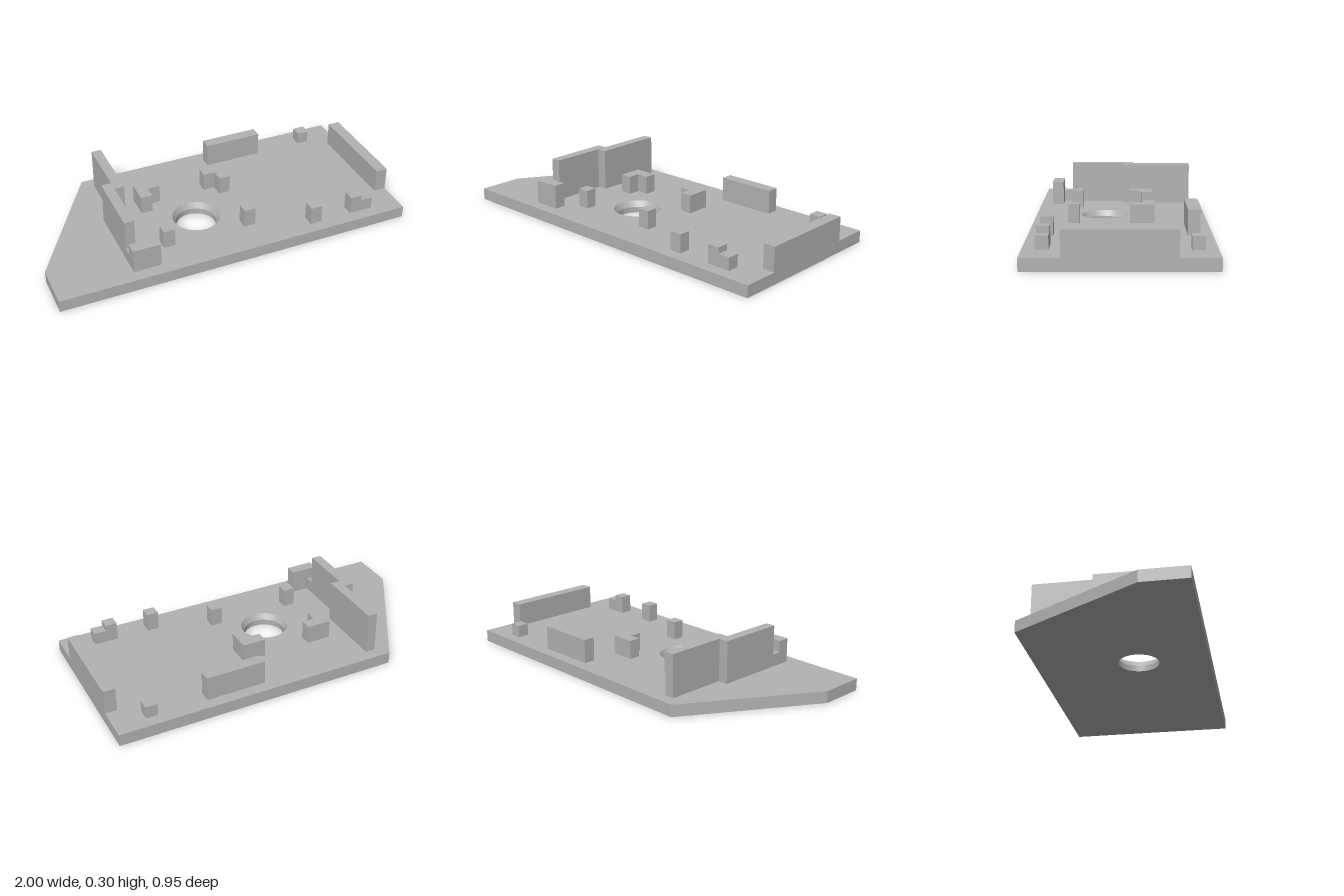
import * as THREE from 'three';
import { toCreasedNormals } from 'three/addons/utils/BufferGeometryUtils.js';

const BASE = 0.066; // plate thickness

export function createModel() {
  const group = new THREE.Group();
  const grey = new THREE.MeshStandardMaterial({ color: 0xb2b2b2 });
  grey.name = 'grey';

  const add = (name, geometry) => {
    const mesh = new THREE.Mesh(geometry, grey);
    mesh.name = name;
    group.add(mesh);
    return mesh;
  };

  // Block standing on the plate, given by its x and z ranges and top height
  const block = (name, x0, x1, z0, z1, top) => {
    const mesh = add(name, new THREE.BoxGeometry(x1 - x0, top - BASE, z1 - z0));
    mesh.position.set((x0 + x1) / 2, (top + BASE) / 2, (z0 + z1) / 2);
  };

  // Base plate with one slanted corner and a round hole (shape y is -z)
  const hole = { x: -0.098, z: 0.09, top: 0.131, bottom: 0.112 };
  const outline = new THREE.Shape([
    [-1, -0.475], [1, -0.475], [1, 0.475], [-0.58, 0.475], [-1, -0.225],
  ].map(([x, y]) => new THREE.Vector2(x, y)));
  outline.holes.push(new THREE.Path().absarc(hole.x, -hole.z, hole.top, 0, Math.PI * 2, true));
  const plate = new THREE.ExtrudeGeometry(outline, {
    depth: BASE, steps: 2, bevelEnabled: false, curveSegments: 32,
  });
  plate.rotateX(-Math.PI / 2);

  // Countersink: narrow the hole from mid thickness down
  const p = plate.attributes.position;
  for (let i = 0; i < p.count; i++) {
    const dx = p.getX(i) - hole.x;
    const dz = p.getZ(i) - hole.z;
    if (Math.hypot(dx, dz) < hole.top + 0.01 && p.getY(i) < BASE * 0.75) {
      const k = hole.bottom / hole.top;
      p.setX(i, hole.x + dx * k);
      p.setZ(i, hole.z + dz * k);
    }
  }
  add('basePlate', toCreasedNormals(plate, 0.35));

  // Walls
  block('tallWallBack', -0.525, -0.47, -0.41, -0.017, 0.3);
  block('tallWallFront', -0.58, -0.525, -0.075, 0.292, 0.3);
  block('lowWallLink', -0.58, -0.525, 0.292, 0.343, 0.135);
  block('frontStop', -0.58, -0.427, 0.343, 0.408, 0.2);
  block('sideWall', 0.934, 1, -0.277, 0.277, 0.2);
  block('backWall', 0.16, 0.492, -0.41, -0.345, 0.2);

  // Corner brackets and posts around the hole
  for (const [x0, x1, legX] of [[-0.365, -0.23, -0.365], [0.04, 0.171, 0.106]]) {
    block('bracketArm', x0, x1, -0.185, -0.12, 0.17);
    block('bracketLeg', legX, legX + 0.065, -0.12, -0.052, 0.17);
    block('post', legX, legX + 0.065, 0.222, 0.285, 0.17);
  }

  // Small pegs along the edges
  block('frontPeg', 0.449, 0.515, 0.343, 0.408, 0.168);
  block('steppedPegHigh', 0.697, 0.762, 0.343, 0.408, 0.168);
  block('steppedPegLow', 0.762, 0.83, 0.343, 0.408, 0.135);
  block('backPeg', 0.765, 0.83, -0.41, -0.345, 0.135);

  return group;
}
